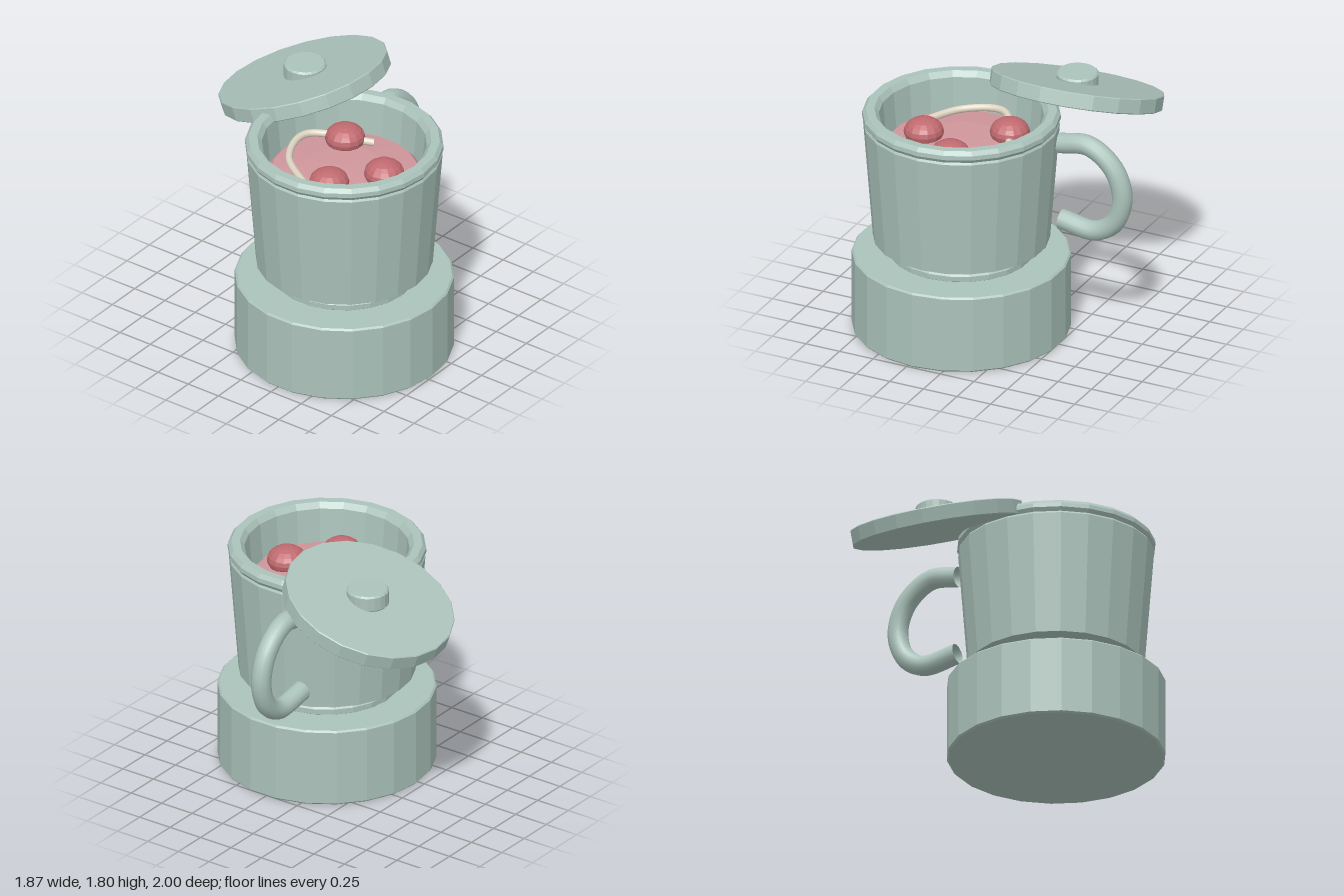
import * as THREE from 'three';

const V = (x, y, z) => new THREE.Vector3(x, y, z);

function material(name, color, flatShading = true) {
  const m = new THREE.MeshStandardMaterial({ color, flatShading, side: THREE.DoubleSide });
  m.name = name;
  return m;
}

// Faceted solid of revolution from [radius, height] pairs, bottom to top
function turned(name, profile, sides, mat, x, z, y = 0) {
  const points = profile.map(([r, h]) => new THREE.Vector2(r, h));
  const mesh = new THREE.Mesh(new THREE.LatheGeometry(points, sides), mat);
  mesh.name = name;
  mesh.position.set(x, y, z);
  return mesh;
}

// Disc with a small bevel on both edges
function disc(r, y0, y1, b) {
  return [[0, y0], [r - b, y0], [r, y0 + b], [r, y1 - b], [r - b, y1], [0, y1]];
}

function tube(name, points, radius, segments, sides, mat) {
  const curve = new THREE.CatmullRomCurve3(points);
  const mesh = new THREE.Mesh(new THREE.TubeGeometry(curve, segments, radius, sides), mat);
  mesh.name = name;
  return mesh;
}

export function createModel() {
  const model = new THREE.Group();
  model.name = 'lidded cup on stand';

  const glaze = material('sage glaze', 0xabc3bb);
  const glazeSmooth = glaze.clone();
  glazeSmooth.flatShading = false;
  const soupMat = material('pink soup', 0xd0979c);
  const ballMat = material('red dumpling', 0xc06a6f);
  const noodleMat = material('cream noodle', 0xdfd4c2, false);

  const cx = -0.21, cz = 0.27;

  // Stand and its collar
  model.add(turned('base', disc(0.73, 0, 0.55, 0.012), 22, glaze, cx, cz));
  model.add(turned('collar', disc(0.485, 0.54, 0.6, 0.012), 22, glaze, cx, cz));

  // Cup: outer wall, groove, rim and hollow inside
  model.add(turned('cup', [
    [0, 0.6], [0.43, 0.6], [0.59, 0.66], [0.655, 1.5], [0.645, 1.515], [0.662, 1.54],
    [0.66, 1.57], [0.637, 1.597], [0.58, 1.597], [0.55, 1.56], [0.525, 1.28], [0, 1.25],
  ], 22, glaze, cx, cz));

  // Soup with a gently domed surface
  model.add(turned('soup', [
    [0.53, 1.3], [0.49, 1.345], [0.27, 1.37], [0, 1.378],
  ], 22, soupMat, cx, cz));

  // Dumplings, slightly flattened
  const ball = new THREE.SphereGeometry(0.135, 14, 10);
  [[-0.46, 0.33], [-0.15, 0.555], [0.055, 0.08]].forEach(([x, z], i) => {
    const mesh = new THREE.Mesh(ball, ballMat);
    mesh.name = `dumpling${i + 1}`;
    mesh.scale.y = 0.7;
    mesh.position.set(x, 1.405, z);
    model.add(mesh);
  });

  // Noodle arching over the soup
  model.add(tube('noodle', [
    V(-0.59, 1.385, 0.255), V(-0.37, 1.41, -0.07), V(-0.1, 1.43, -0.13), V(0.14, 1.385, 0.255),
  ], 0.026, 28, 8, noodleMat));

  // Handle
  model.add(tube('handle', [
    V(0.4, 1.375, 0.03), V(0.62, 1.4, 0.03), V(0.8, 1.27, 0.03), V(0.867, 1.07, 0.03),
    V(0.81, 0.88, 0.03), V(0.67, 0.785, 0.03), V(0.41, 0.815, 0.03),
  ], 0.069, 32, 12, glazeSmooth));

  // Tilted lid with a level knob
  const lid = turned('lid', disc(0.585, -0.053, 0.053, 0.006), 20, glaze, 0.295, -0.434, 1.548);
  lid.rotation.x = -0.35;
  model.add(lid);
  model.add(turned('lidKnob', disc(0.142, 1.56, 1.677, 0.012), 20, glaze, 0.3, -0.434));

  return model;
}
